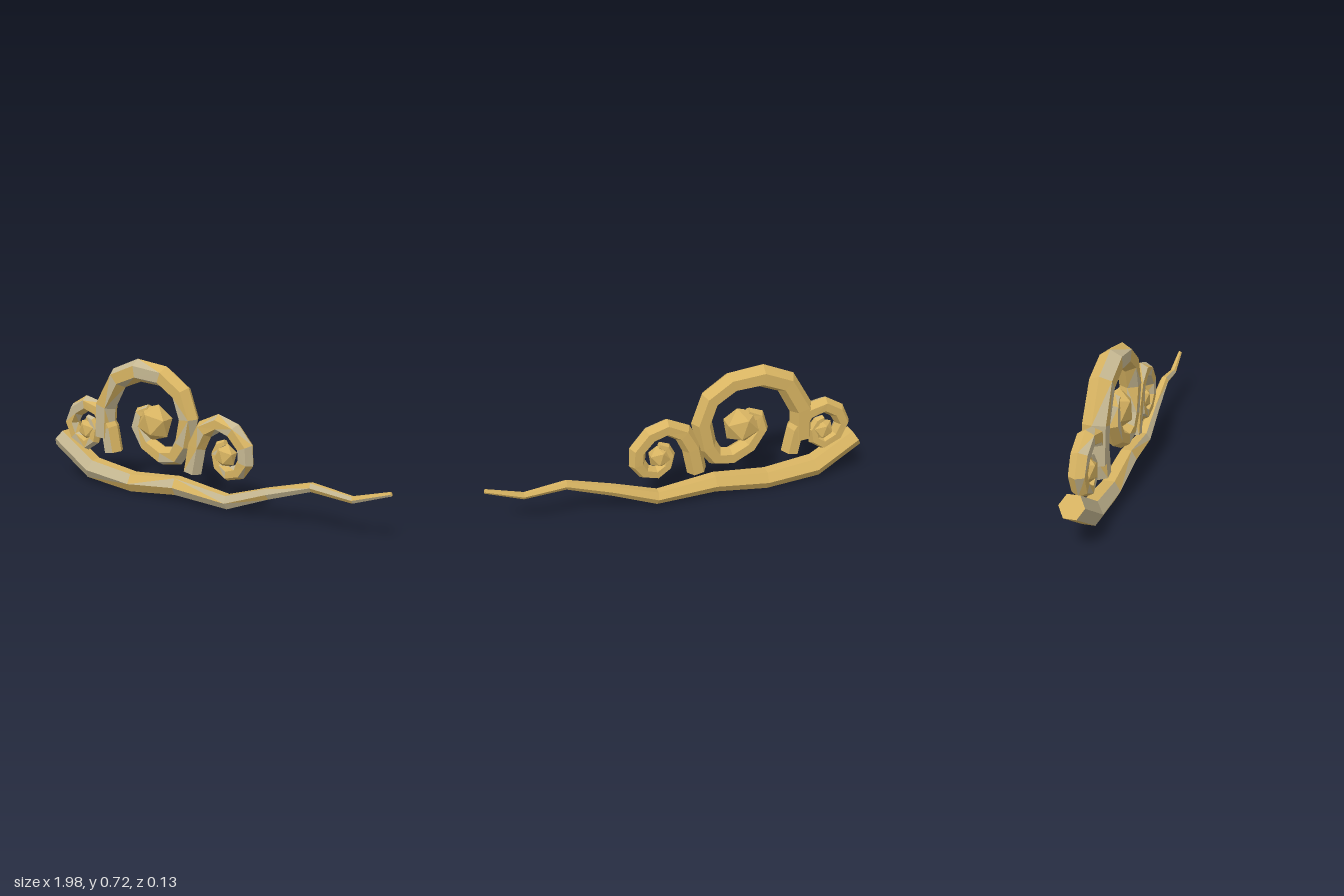
import * as THREE from 'three';

const gold = new THREE.MeshStandardMaterial({ color: 0xd8b462 });
gold.name = 'gold';
const paleGold = new THREE.MeshStandardMaterial({ color: 0xc6b892 });
paleGold.name = 'pale gold';
for (const m of [gold, paleGold]) m.flatShading = true;

const SIDES = 6;

function seeded(seed) {
  let s = seed;
  return () => (s = (s * 16807) % 2147483647) / 2147483647;
}

// Faceted, capped six-sided branch along points [x, y, radius] in the xy plane.
// Some of its front facets take the pale gold.
function branch(name, points, phase, paleShare, seed) {
  const rand = seeded(seed);
  const last = points.length - 1;
  const centres = points.map(([x, y]) => new THREE.Vector3(x, y, 0));
  const rings = points.map(([, , r], i) => {
    const t = new THREE.Vector3();
    if (i > 0) t.add(centres[i].clone().sub(centres[i - 1]).normalize());
    if (i < last) t.add(centres[i + 1].clone().sub(centres[i]).normalize());
    t.normalize();
    const ring = [];
    for (let j = 0; j < SIDES; j++) {
      const a = phase + (j / SIDES) * Math.PI * 2;
      const c = Math.cos(a) * r;
      ring.push(new THREE.Vector3(-t.y * c, t.x * c, Math.sin(a) * r).add(centres[i]));
    }
    return ring;
  });

  const faces = [[], []];
  const tri = (a, b, c) => {
    const n = b.clone().sub(a).cross(c.clone().sub(a)).normalize();
    const pale = n.z > 0.3 && rand() < paleShare;
    faces[pale ? 1 : 0].push(a, b, c);
  };
  for (let j = 0; j < SIDES; j++) {
    const k = (j + 1) % SIDES;
    for (let i = 0; i < last; i++) {
      const A = rings[i][j], B = rings[i][k], C = rings[i + 1][k], D = rings[i + 1][j];
      if ((i + j) % 2) { tri(A, B, C); tri(A, C, D); }
      else { tri(A, B, D); tri(B, C, D); }
    }
    tri(centres[0], rings[0][k], rings[0][j]);
    tri(centres[last], rings[last][j], rings[last][k]);
  }
  const geo = new THREE.BufferGeometry().setFromPoints([...faces[0], ...faces[1]]);
  geo.addGroup(0, faces[0].length, 0);
  geo.addGroup(faces[0].length, faces[1].length, 1);
  geo.computeVertexNormals();
  const mesh = new THREE.Mesh(geo, [gold, paleGold]);
  mesh.name = name;
  return mesh;
}

// Flattened faceted bead in the eye of a scroll
function bead(name, x, y, r, depth) {
  const geo = new THREE.IcosahedronGeometry(r, 0);
  geo.rotateZ(0.3);
  geo.scale(1, 1, depth);
  geo.computeVertexNormals();
  const mesh = new THREE.Mesh(geo, gold);
  mesh.name = name;
  mesh.position.set(x, y, 0);
  return mesh;
}

export function createModel() {
  const group = new THREE.Group();
  group.name = 'scrollOrnament';

  // Long tapering stem
  group.add(branch('stem', [
    [-0.962, 0.228, 0.058], [-0.74, 0.083, 0.062], [-0.46, 0.052, 0.056],
    [-0.17, 0.083, 0.052], [0.14, 0.055, 0.04], [0.37, 0.142, 0.031],
    [0.6, 0.217, 0.024], [0.81, 0.195, 0.018], [0.992, 0.257, 0.011],
  ], Math.PI / 6, 0.5, 11));

  // Large central scroll
  group.add(branch('largeScroll', [
    [-0.645, 0.28, 0.058], [-0.632, 0.455, 0.062], [-0.54, 0.61, 0.06],
    [-0.405, 0.665, 0.06], [-0.25, 0.65, 0.056], [-0.14, 0.575, 0.055],
    [-0.097, 0.45, 0.055], [-0.125, 0.315, 0.054], [-0.172, 0.245, 0.052],
    [-0.257, 0.23, 0.05], [-0.355, 0.28, 0.048], [-0.413, 0.37, 0.045],
    [-0.395, 0.44, 0.038], [-0.34, 0.468, 0.026],
  ], 0, 0.42, 23));
  group.add(bead('largeBead', -0.31, 0.4, 0.102, 0.75));

  // Small scroll on the +x side
  group.add(branch('leftScroll', [
    [-0.073, 0.178, 0.052], [-0.045, 0.32, 0.052], [0.002, 0.41, 0.05],
    [0.085, 0.453, 0.046], [0.17, 0.425, 0.046], [0.235, 0.35, 0.045],
    [0.24, 0.275, 0.044], [0.205, 0.222, 0.04], [0.14, 0.202, 0.037],
    [0.088, 0.237, 0.034], [0.072, 0.295, 0.03], [0.09, 0.34, 0.025],
    [0.125, 0.358, 0.018],
  ], 0, 0.35, 37));
  group.add(bead('leftBead', 0.122, 0.293, 0.064, 0.75));

  // Small scroll on the -x side
  group.add(branch('rightScroll', [
    [-0.59, 0.2, 0.052], [-0.612, 0.33, 0.052], [-0.67, 0.42, 0.049],
    [-0.765, 0.445, 0.044], [-0.842, 0.4, 0.043], [-0.878, 0.33, 0.042],
    [-0.85, 0.258, 0.04], [-0.775, 0.217, 0.037], [-0.725, 0.25, 0.034],
    [-0.712, 0.31, 0.029], [-0.735, 0.352, 0.024], [-0.77, 0.365, 0.018],
  ], 0, 0.35, 53));
  group.add(bead('rightBead', -0.765, 0.3, 0.064, 0.75));

  return group;
}
